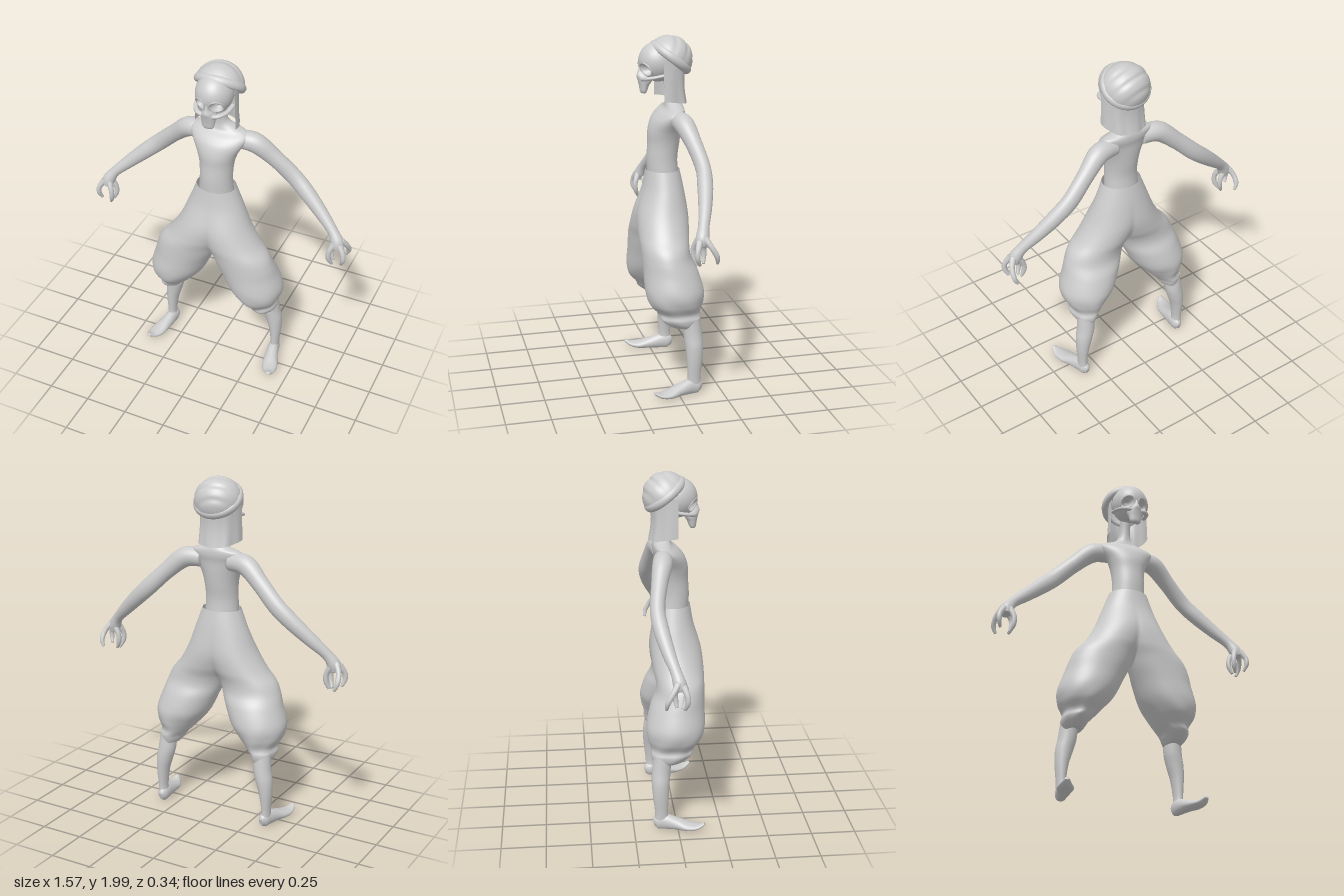
import * as THREE from 'three';

const material = new THREE.MeshStandardMaterial({ color: 0xcccccc, side: THREE.DoubleSide });
const V = (x, y, z) => new THREE.Vector3(x, y, z);

// Smooth interpolation through a table of rows, t in 0..1
function sample(rows, t) {
  const f = t * (rows.length - 1), i = Math.min(Math.floor(f), rows.length - 2), s = f - i;
  const row = k => rows[Math.max(0, Math.min(rows.length - 1, k))];
  return rows[i].map((_, c) => {
    const [p0, p1, p2, p3] = [row(i - 1)[c], row(i)[c], row(i + 1)[c], row(i + 2)[c]];
    return p1 + 0.5 * s * (p2 - p0 + s * (2 * p0 - 5 * p1 + 4 * p2 - p3 + s * (3 * (p1 - p2) + p3 - p0)));
  });
}

// Surface from a function of (u, v); wrap closes it in v
function grid(nu, nv, fn, wrap = true) {
  const pos = [], index = [], cols = wrap ? nv : nv + 1;
  for (let i = 0; i <= nu; i++)
    for (let j = 0; j < cols; j++) pos.push(...fn(i / nu, j / nv).toArray());
  for (let i = 0; i < nu; i++)
    for (let j = 0; j < nv; j++) {
      const k = (j + 1) % cols, a = i * cols + j, b = i * cols + k;
      index.push(a, b, a + cols, b, b + cols, a + cols);
    }
  const g = new THREE.BufferGeometry();
  g.setAttribute('position', new THREE.Float32BufferAttribute(pos, 3));
  g.setIndex(index);
  g.computeVertexNormals();
  return g;
}

// Closed sweep through rows [x, y, z, radiusA, radiusB]; radiusB lies along ref.
// Without ref the rings stay level and run from bottom to top.
function sweep(rows, { ref = null, sides = 28, steps = 8, floor = -Infinity } = {}) {
  const n = steps * (rows.length - 1);
  const at = t => V(...sample(rows, t).slice(0, 3));
  return grid(n + 2, sides, (u, v) => {
    const k = Math.round(u * (n + 2)), t = Math.max(0, Math.min(1, (k - 1) / n));
    const [x, y, z, a, b] = sample(rows, t), cap = k === 0 || k === n + 2 ? 0 : 1;
    let side = V(1, 0, 0), up = V(0, 0, -1);
    if (ref) {
      const tan = at(Math.min(1, t + 0.01)).sub(at(Math.max(0, t - 0.01))).normalize();
      up = ref.clone().addScaledVector(tan, -ref.dot(tan)).normalize();
      side = up.clone().cross(tan);
    }
    const q = v * Math.PI * 2;
    const p = V(x, y, z).addScaledVector(side, cap * a * Math.cos(q)).addScaledVector(up, cap * b * Math.sin(q));
    p.y = Math.max(p.y, floor);
    return p;
  });
}

function mirror(geometry) {
  const g = geometry.clone().scale(-1, 1, 1), ix = g.index.array;
  for (let i = 0; i < ix.length; i += 3) [ix[i], ix[i + 1]] = [ix[i + 1], ix[i]];
  return g;
}

// Half of the trousers: open along x = 0 above the crotch, a closed leg below
function trouserHalf() {
  const rows = [ // y, outer x, inner x, front z, back z
    [0.405, 0.335, 0.285, -0.05, -0.125], [0.388, 0.345, 0.26, 0.005, -0.128], [0.41, 0.365, 0.24, 0.05, -0.138],
    [0.44, 0.374, 0.222, 0.085, -0.143], [0.475, 0.37, 0.188, 0.1, -0.142], [0.53, 0.4, 0.14, 0.145, -0.158],
    [0.6, 0.41, 0.085, 0.164, -0.166], [0.7, 0.38, 0.037, 0.165, -0.142], [0.77, 0.358, 0.004, 0.167, -0.11],
    [0.83, 0.33, -0.025, 0.169, -0.105], [0.9, 0.27, -0.07, 0.17, -0.118], [1.0, 0.21, -0.12, 0.16, -0.125],
    [1.13, 0.157, -0.14, 0.122, -0.11], [1.24, 0.115, -0.115, 0.103, -0.088]];
  const nu = 110, nv = 56;
  const g = grid(nu, nv, (u, v) => {
    const [y, o, i, f, b] = sample(rows, u), cx = (o + i) / 2, rx = (o - i) / 2;
    const q = (2 * v - 1) * (cx < rx ? Math.acos(-cx / rx) : Math.PI);
    const fold = 1 + 0.022 * THREE.MathUtils.smoothstep(0.64 - y, 0, 0.17) * Math.sin(6 * q + y * 22);
    const x = cx + rx * fold * Math.cos(q);
    return V(Math.abs(x) < 1e-6 ? 0 : x, y, (f + b) / 2 - fold * (f - b) / 2 * Math.sin(q));
  }, false);
  // Even out shading along the seam
  const N = g.attributes.normal, P = g.attributes.position;
  for (let i = 0; i <= nu; i++) {
    const a = i * (nv + 1), b = a + nv, na = V().fromBufferAttribute(N, a), nb = V().fromBufferAttribute(N, b);
    if (P.getX(a) < 1e-5) { na.x = nb.x = 0; } else { na.add(nb); nb.copy(na); }
    N.setXYZ(a, ...na.normalize().toArray());
    N.setXYZ(b, ...nb.normalize().toArray());
  }
  return g;
}

// Skull ball with sunken eye sockets
function skull() {
  return grid(60, 90, (u, v) => {
    const e = (u - 0.5) * Math.PI, q = v * Math.PI * 2;
    const p = V(0.104 * Math.cos(e) * Math.cos(q), 1.85 + 0.112 * Math.sin(e), 0.03 - 0.112 * Math.cos(e) * Math.sin(q));
    if (p.z > 0.03) {
      const r = Math.hypot((Math.abs(p.x) - 0.045) / 0.034, (p.y - 1.815) / 0.034);
      p.z -= 0.05 * (1 - THREE.MathUtils.smoothstep(r, 0.35, 1.05));
    }
    return p;
  });
}

export function createModel() {
  const model = new THREE.Group();
  model.name = 'figure';
  const add = (name, geometry, parent = model) => {
    const m = new THREE.Mesh(geometry, material);
    m.name = name;
    parent.add(m);
    return m;
  };
  const pair = (name, geometry) => {
    add(name + 'Left', geometry);
    add(name + 'Right', mirror(geometry));
  };

  // Torso and neck
  add('torso', sweep([
    [0, 1.2, 0.005, 0.1, 0.088], [0, 1.3, 0.01, 0.094, 0.087], [0, 1.39, 0.002, 0.099, 0.09],
    [0, 1.46, -0.003, 0.118, 0.093], [0, 1.52, -0.015, 0.15, 0.086], [0, 1.56, -0.035, 0.168, 0.074],
    [0, 1.588, -0.053, 0.15, 0.056], [0, 1.61, -0.055, 0.085, 0.048], [0, 1.64, -0.05, 0.043, 0.04],
    [0, 1.7, -0.04, 0.032, 0.035], [0, 1.8, -0.02, 0.032, 0.035]], { sides: 40 }));

  // Baggy trousers
  pair('trouser', trouserHalf());

  // Lower legs and upturned shoes
  pair('lowerLeg', sweep([
    [0.347, 0.04, -0.092, 0.028, 0.04], [0.35, 0.1, -0.092, 0.026, 0.037], [0.347, 0.2, -0.095, 0.037, 0.045],
    [0.335, 0.28, -0.095, 0.049, 0.051], [0.32, 0.35, -0.09, 0.052, 0.053], [0.312, 0.45, -0.08, 0.05, 0.05]]));
  pair('foot', sweep([
    [0.343, 0.03, -0.136, 0.012, 0.02], [0.344, 0.036, -0.115, 0.029, 0.042], [0.349, 0.04, -0.07, 0.034, 0.046],
    [0.363, 0.03, 0, 0.04, 0.034], [0.38, 0.02, 0.06, 0.046, 0.024], [0.396, 0.023, 0.11, 0.034, 0.015],
    [0.404, 0.044, 0.15, 0.012, 0.008]], { ref: V(0, 1, 0), floor: 0 }));

  // Arms
  pair('arm', sweep([
    [0.09, 1.53, -0.055, 0.05, 0.05], [0.195, 1.525, -0.068, 0.057, 0.056], [0.3, 1.44, -0.095, 0.049, 0.045],
    [0.41, 1.335, -0.115, 0.049, 0.041], [0.5, 1.255, -0.103, 0.046, 0.042], [0.6, 1.165, -0.075, 0.038, 0.036],
    [0.68, 1.09, -0.045, 0.03, 0.03], [0.717, 1.035, -0.028, 0.037, 0.036], [0.724, 0.998, -0.022, 0.028, 0.032]],
    { ref: V(0, 0, 1) }));

  // Fingers and thumb
  const digits = {
    thumb: [[0.735, 1.045, -0.035], [0.764, 1.0, -0.065], [0.77, 0.95, -0.093], [0.755, 0.908, -0.1]],
    outerFinger: [[0.738, 1.03, -0.01], [0.766, 0.985, 0.008], [0.77, 0.945, 0.01], [0.757, 0.905, -0.005]],
    innerFinger: [[0.707, 1.03, -0.01], [0.686, 0.98, 0.01], [0.686, 0.93, 0.008], [0.703, 0.887, -0.01]],
    backFinger: [[0.71, 1.03, -0.04], [0.684, 0.98, -0.046], [0.682, 0.935, -0.046], [0.698, 0.893, -0.04]] };
  const widths = [0.02, 0.015, 0.014, 0.008];
  for (const [name, path] of Object.entries(digits))
    pair(name, sweep(path.map((p, i) => [...p, widths[i], widths[i]]), { ref: V(0, 0, 1), sides: 12 }));

  // Skull face
  add('skull', skull());
  add('muzzle', sweep([
    [0, 1.678, 0.116, 0.026, 0.013], [0, 1.69, 0.115, 0.034, 0.02], [0, 1.72, 0.112, 0.04, 0.028],
    [0, 1.75, 0.105, 0.045, 0.042], [0, 1.775, 0.104, 0.034, 0.05], [0, 1.8, 0.104, 0.017, 0.043],
    [0, 1.84, 0.1, 0.012, 0.035]]));
  pair('cheekbone', sweep([
    [0.025, 1.756, 0.125, 0.014, 0.012], [0.062, 1.763, 0.115, 0.014, 0.012], [0.09, 1.772, 0.075, 0.013, 0.01],
    [0.1, 1.785, 0.01, 0.013, 0.01]], { ref: V(0, 1, 0), sides: 14 }));
  const rim = Array.from({ length: 25 }, (_, i) => {
    const q = i / 24 * Math.PI * 2, x = 0.045 + 0.035 * Math.cos(q), y = 1.815 + 0.035 * Math.sin(q);
    return V(x, y, 0.027 + 0.112 * Math.sqrt(1 - (x / 0.104) ** 2 - ((y - 1.85) / 0.112) ** 2));
  }).slice(0, 24);
  pair('socketRim', new THREE.TubeGeometry(new THREE.CatmullRomCurve3(rim, true), 48, 0.0055, 8, true));

  // Wrapped headdress, tipped back
  const headdress = new THREE.Group();
  headdress.name = 'headdress';
  headdress.position.set(0, 1.86, -0.03);
  headdress.rotation.x = -0.665;
  model.add(headdress);
  add('wrap', grid(50, 64, (u, v) => {
    const e = u * Math.PI / 2, q = v * Math.PI * 2;
    const p = V(Math.cos(e) * Math.cos(q), Math.sin(e), -Math.cos(e) * Math.sin(q));
    const fold = 1 - 0.05 * Math.pow(Math.abs(Math.cos(5.5 * p.z + 1.2 * p.x + 0.6)), 6) * Math.sin(e);
    return V(0.138, 0.134, 0.132).multiply(p).multiplyScalar(fold);
  }), headdress);
  const band = add('band', new THREE.TorusGeometry(0.122, 0.02, 16, 56).rotateX(Math.PI / 2), headdress);
  band.scale.set(1.02, 1.25, 0.97);
  band.position.y = 0.012;

  // Neck cloth hanging from the headdress, open at the face
  add('neckCloth', grid(24, 48, (u, v) => {
    const q = v * Math.PI, s = Math.sin(q), c = Math.cos(q), drop = 1 - u;
    const bottom = 1.642 - 0.026 * s;
    const wave = 1 + 0.025 * drop * Math.sin(9 * q);
    const x = (0.112 + 0.008 * drop) * wave * Math.sign(c) * Math.pow(Math.abs(c), 0.75);
    return V(x, bottom + u * (1.86 - bottom), 0.025 - (0.152 - 0.014 * Math.sin(u * Math.PI)) * wave * Math.pow(s, 0.8));
  }, false));

  return model;
}
